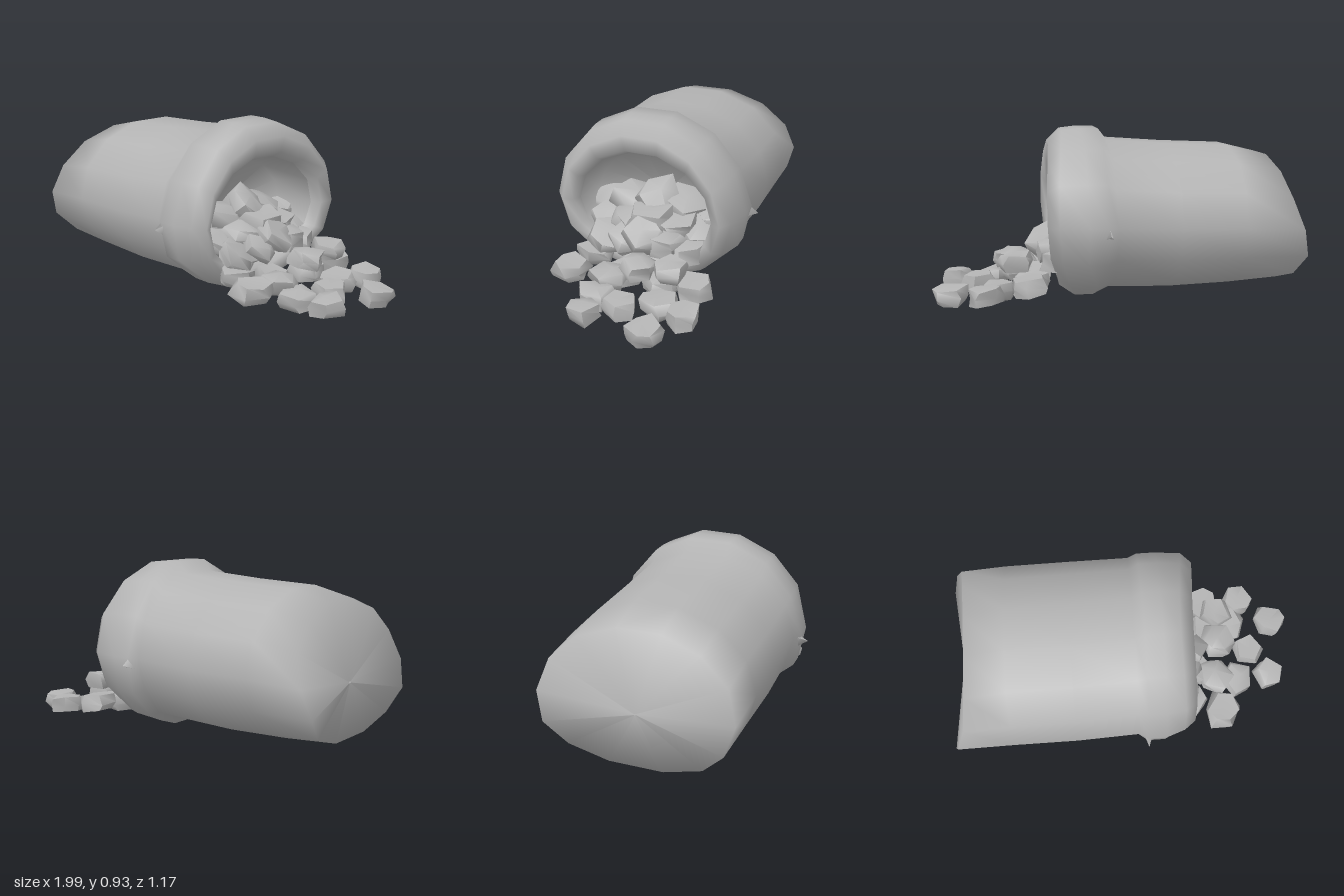
import * as THREE from 'three';
import { mergeVertices, toCreasedNormals } from 'three/addons/utils/BufferGeometryUtils.js';

const SIDES = 14;

// Repeatable value between -0.5 and 0.5
function noise(a, b) {
  const v = Math.sin(a * 12.9898 + b * 78.233) * 43758.5453;
  return v - Math.floor(v) - 0.5;
}

// Stations are [x, bottom, top, halfWidth, rule]; rule(point) may move a ring's points
function loft(stations) {
  const pos = [], index = [];
  stations.forEach(([x, lo, hi, rz, rule]) => {
    const mid = lo + (hi - lo) * 0.48;
    for (let j = 0; j < SIDES; j++) {
      const a = (j / SIDES) * Math.PI * 2, s = Math.sin(a);
      const p = new THREE.Vector3(x, mid + s * (s > 0 ? hi - mid : mid - lo), Math.cos(a) * rz);
      if (rule) rule(p);
      pos.push(p.x, p.y, p.z);
    }
  });
  for (let i = 0; i < stations.length - 1; i++) {
    for (let j = 0; j < SIDES; j++) {
      const k = (j + 1) % SIDES, a = i * SIDES, b = a + SIDES;
      index.push(a + j, b + j, a + k, a + k, b + j, b + k);
    }
  }
  const g = new THREE.BufferGeometry();
  g.setAttribute('position', new THREE.Float32BufferAttribute(pos, 3));
  g.setIndex(index);
  g.computeVertexNormals();
  return g;
}

// Rounded, uneven nugget with five or six sides
function stoneGeometry(seed) {
  const profile = [[0, -0.9], [0.85, -0.75], [1, 0], [0.85, 0.75], [0, 0.9]]
    .map(([r, y]) => new THREE.Vector2(r, y));
  let g = new THREE.LatheGeometry(profile, 5 + (seed % 2));
  g.deleteAttribute('uv');
  g.deleteAttribute('normal');
  g = mergeVertices(g, 1e-3);
  const p = g.attributes.position;
  for (let i = 0; i < p.count; i++) {
    const n = (axis) => noise(i + seed * 31, axis) * 0.35;
    p.setXYZ(i, p.getX(i) + n(1), p.getY(i) + n(2), p.getZ(i) + n(3));
  }
  return toCreasedNormals(g, 1.1);
}

export function createModel() {
  const model = new THREE.Group();
  const grey = new THREE.MeshStandardMaterial({ color: 0xb4b4b4, side: THREE.DoubleSide });
  grey.name = 'plain grey';
  const add = (name, geometry, parent = model) => {
    const mesh = new THREE.Mesh(geometry, grey);
    mesh.name = name;
    parent.add(mesh);
    return mesh;
  };

  // Underside is boxier than the round top
  const flatten = (p) => {
    if (p.y < 0.4) p.z *= 1 + 0.35 * Math.max(0, 0.4 - p.y) * (1 - Math.abs(p.z) / 0.53) * 3;
  };
  // Slanted sack bottom, pushed out at its low side corners
  const endRule = (p) => {
    p.x += p.y > 0.45 ? 0.07 + (p.y - 0.45) * 0.18 : Math.abs(p.y - 0.28) * 0.3;
    flatten(p);
  };
  // Lip bulges at mid height, is tucked back at the bottom and skewed to one side
  const lipRule = (p) => {
    p.x += 0.02 - 0.25 * (p.y - 0.55) ** 2 - 0.05 * p.z - (p.y < 0.2 ? 0.02 : 0);
  };
  // Back of the cuff flares low on both sides
  const flareRule = (p) => {
    p.z *= 1 + 0.09 * Math.exp(-(((p.y - 0.33) / 0.14) ** 2));
    if (p.y < 0.2) p.x += 0.03;
  };

  // Closed end, body and rolled-over rim
  const mouth = [0.27, 0.14, 0.75, 0.39, lipRule];
  add('sack', loft([
    [-0.93, 0.36, 0.37, 0.005],
    [-1, 0.07, 0.79, 0.525, endRule],
    [-0.65, 0.05, 0.845, 0.525, flatten],
    [-0.3, 0.04, 0.86, 0.525, flatten],
    [0.04, 0.05, 0.885, 0.515, flatten],
    [0.09, 0, 0.95, 0.525, flareRule],
    [0.19, 0, 0.95, 0.525, flareRule],
    [0.3, 0.01, 0.94, 0.51, lipRule],
    [0.36, 0.06, 0.87, 0.46, lipRule],
    [0.33, 0.12, 0.78, 0.41, lipRule],
    mouth,
  ]));

  // Inside of the sack narrowing to the back
  add('lining', loft([mouth, [0.08, 0.13, 0.7, 0.36], [-0.06, 0.4, 0.41, 0.01]]));

  // Pinched cloth fold on each side of the rim
  for (const side of [1, -1]) {
    const fold = add('clothFold', new THREE.ConeGeometry(0.07, 0.1, 3));
    fold.position.set(0.09, 0.42, side * 0.535);
    fold.rotation.x = side * Math.PI / 2;
    fold.scale.x = 0.6;
  }

  // Stones lie flatter and smaller outside, larger and steeper inside
  const pile = new THREE.Group();
  pile.name = 'spilledStones';
  model.add(pile);
  const addStone = (x, y, z, size, tilt) => {
    const seed = pile.children.length + 1;
    const stone = add('stone', stoneGeometry(seed), pile);
    stone.position.set(x, y, z);
    stone.scale.set(size, size * 0.55, size * (1.05 + noise(seed, 5) * 0.3));
    stone.rotation.set(0, noise(seed, 6) * 1.2, tilt);
  };

  // Stones on the ground in front of the mouth
  [
    [0.9, 0.07, -0.24], [0.855, 0.09, 0.1], [0.55, 0.14, 0.32],
    [0.75, 0.1, -0.06], [0.72, 0.09, -0.38], [0.66, 0.08, 0.12],
    [0.64, 0.08, -0.23], [0.37, 0.16, 0.26], [0.49, 0.13, -0.36],
    [0.53, 0.12, 0.1], [0.47, 0.11, -0.18], [0.42, 0.11, 0.04],
    [0.55, 0.23, -0.08], [0.55, 0.24, -0.25],
  ].forEach(([x, y, z]) => addStone(x, y, z, 0.1, -0.1));

  // Heap rising back into the sack, three rows
  for (let row = 0; row < 3; row++) {
    for (let i = -2; i <= 2; i++) {
      const spread = 0.11 + row * 0.02;
      addStone(0.37 - row * 0.12 - Math.abs(i) * 0.03, 0.32 + row * 0.06 - Math.abs(i) * 0.04,
        i * spread - 0.03, 0.115 + row * 0.01, -0.35 + noise(row, i) * 0.6);
    }
  }

  return model;
}
